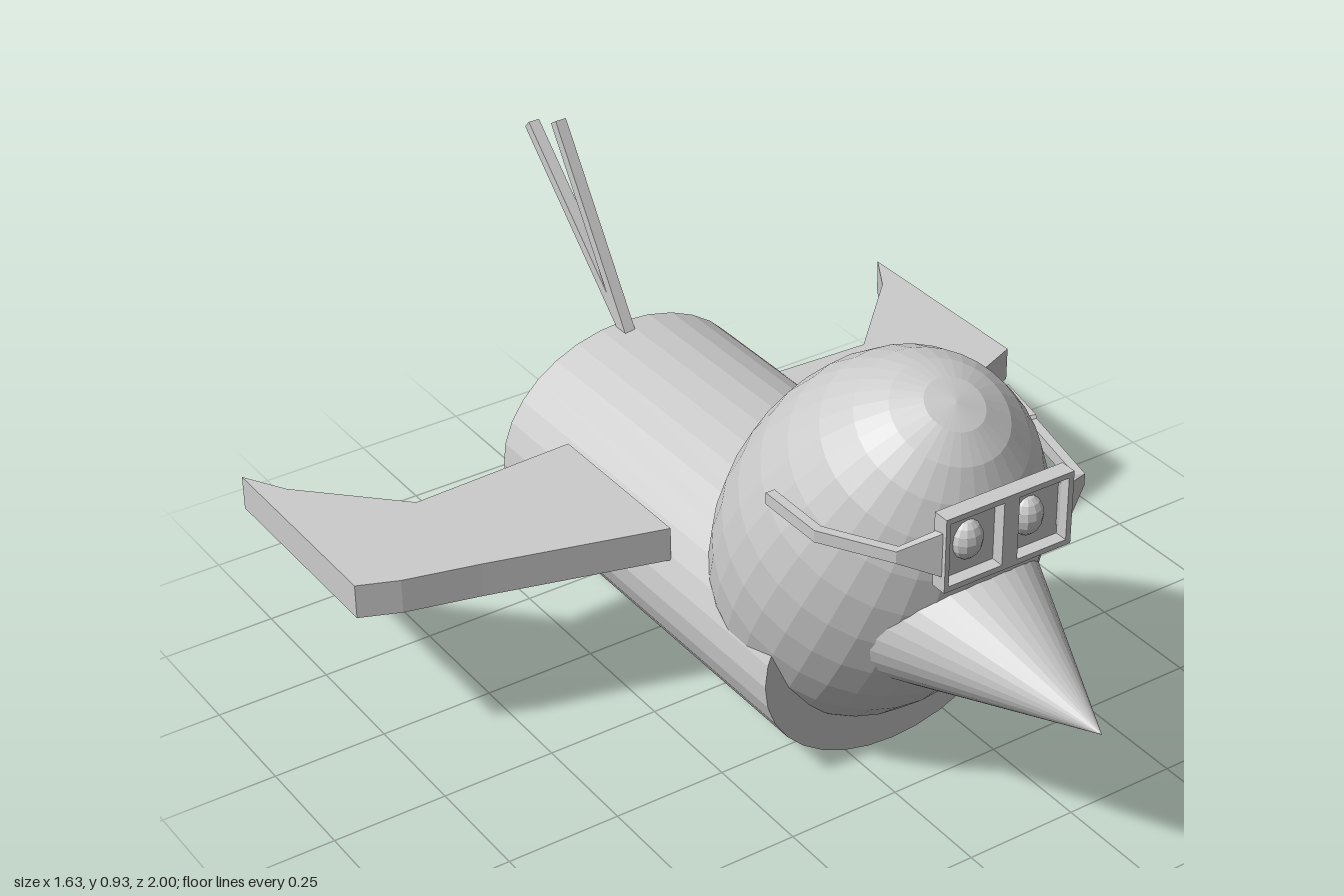
import * as THREE from 'three';

const mat = new THREE.MeshStandardMaterial({ color: 0xcccccc, flatShading: true, side: THREE.DoubleSide });

export function createModel() {
  const model = new THREE.Group();
  model.name = 'bird';
  const add = (name, geometry, x = 0, y = 0, z = 0) => {
    const mesh = new THREE.Mesh(geometry, mat);
    mesh.name = name;
    mesh.position.set(x, y, z);
    model.add(mesh);
    return mesh;
  };
  const shapeOf = (pts) => new THREE.Shape(pts.map(([x, y]) => new THREE.Vector2(x, y)));
  const rect = (x0, y0, x1, y1) => [[x0, y0], [x1, y0], [x1, y1], [x0, y1]];

  // Body: oval cylinder lying along z
  const body = new THREE.CylinderGeometry(1, 1, 1, 32).rotateX(Math.PI / 2).scale(0.318, 0.256, 1);
  add('body', body, 0.105, 0.256, -0.15);

  // Head: egg leaning forward
  const head = add('head', new THREE.SphereGeometry(1, 32, 16).scale(0.318, 0.49, 0.318), 0.088, 0.478, 0.3);
  head.rotation.x = 0.51;

  // Beak: oval cone, base buried in the head, sheared slightly downward
  const beak = new THREE.ConeGeometry(1, 0.5, 32).rotateX(Math.PI / 2).scale(0.225, 0.193, 1);
  const bp = beak.attributes.position;
  for (let i = 0; i < bp.count; i++) bp.setY(i, bp.getY(i) - 0.088 * (bp.getZ(i) + 0.25));
  add('beak', beak, 0.093, 0.459, 0.75);

  // Wings: swept plan outline, extruded upwards and mirrored
  const plan = [[0.19, -0.02], [0.57, -0.125], [0.73, -0.165], [0.815, -0.2],
    [0.815, -0.683], [0.76, -0.59], [0.565, -0.395], [0.19, -0.412]];
  for (const [name, s] of [['leftWing', 1], ['rightWing', -1]]) {
    const outline = shapeOf(plan.map(([x, z]) => [s * x, -z]));
    const wing = new THREE.ExtrudeGeometry(outline, { depth: 0.077, bevelEnabled: false }).rotateX(-Math.PI / 2);
    add(name, wing, 0, 0.345, 0);
  }

  // Tail: two thin sticks fanning out from one root
  const root = new THREE.Vector3(0.09, 0.5, -0.612);
  for (const [name, y, z] of [['upperTailFeather', 0.906, -0.877], ['lowerTailFeather', 0.855, -0.99]]) {
    const dir = new THREE.Vector3(0.09, y, z).sub(root);
    const feather = add(name, new THREE.BoxGeometry(0.026, dir.length(), 0.024));
    feather.position.copy(root).addScaledVector(dir, 0.5);
    feather.quaternion.setFromUnitVectors(new THREE.Vector3(0, 1, 0), dir.normalize());
  }

  // Goggle frame with two openings
  const frame = shapeOf(rect(-0.055, 0.62, 0.245, 0.782));
  for (const r of [rect(-0.045, 0.632, 0.08, 0.77), rect(0.116, 0.632, 0.233, 0.77)]) {
    frame.holes.push(new THREE.Path(r.map(([x, y]) => new THREE.Vector2(x, y))));
  }
  add('goggleFrame', new THREE.ExtrudeGeometry(frame, { depth: 0.036, bevelEnabled: false }), 0, 0, 0.667);
  add('goggleLens', new THREE.BoxGeometry(0.29, 0.15, 0.006), 0.095, 0.701, 0.672);

  // Eyes behind the openings
  for (const [name, x] of [['rightEye', 0.017], ['leftEye', 0.16]]) {
    add(name, new THREE.SphereGeometry(1, 12, 8).scale(0.035, 0.043, 0.03), x, 0.7, 0.672);
  }

  // Straps: flat bands through [x, z, half height], tapering from the frame
  const strap = (pts, t) => {
    const pos = [], index = [];
    pts.forEach(([x, z, h], i) => {
      const a = pts[Math.max(i - 1, 0)], b = pts[Math.min(i + 1, pts.length - 1)];
      const len = Math.hypot(b[0] - a[0], b[1] - a[1]);
      const nx = (b[1] - a[1]) / len * t, nz = -(b[0] - a[0]) / len * t;
      for (const [s, u] of [[1, 1], [1, -1], [-1, -1], [-1, 1]]) pos.push(x + s * nx, 0.7 + u * h, z + s * nz);
      if (i === 0) return;
      for (let k = 0; k < 4; k++) {
        const p = (i - 1) * 4 + k, q = (i - 1) * 4 + (k + 1) % 4;
        index.push(p, p + 4, q, q, p + 4, q + 4);
      }
    });
    const e = pos.length / 3 - 4;
    index.push(0, 1, 2, 0, 2, 3, e, e + 2, e + 1, e, e + 3, e + 2);
    const g = new THREE.BufferGeometry();
    g.setAttribute('position', new THREE.Float32BufferAttribute(pos, 3));
    g.setIndex(index);
    g.computeVertexNormals();
    return g;
  };
  add('rightStrap', strap([[-0.05, 0.685, 0.048], [-0.122, 0.645, 0.013], [-0.203, 0.505, 0.013], [-0.203, 0.35, 0.013]], 0.01));
  add('leftStrap', strap([[0.235, 0.685, 0.048], [0.318, 0.635, 0.013], [0.365, 0.43, 0.015], [0.367, 0.425, 0.021], [0.393, 0.305, 0.021]], 0.01));

  return model;
}
